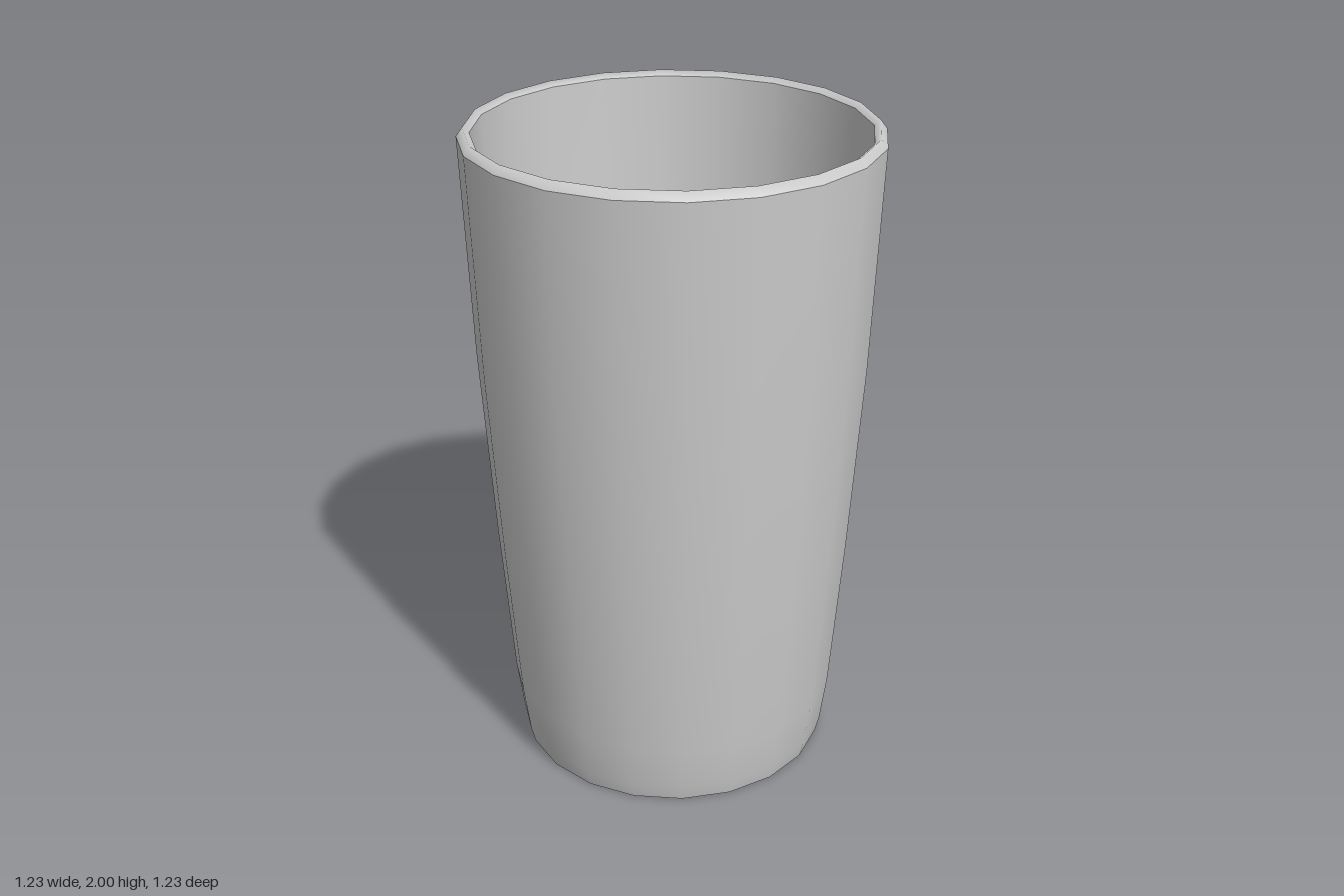
import * as THREE from 'three';

const SIDES = 20;

// Revolve a short [radius, height] profile; each piece is smooth in itself,
// and the breaks between pieces keep the edges sharp.
function turned(name, profile, material) {
  const points = profile.map(([r, y]) => new THREE.Vector2(r, y));
  const mesh = new THREE.Mesh(new THREE.LatheGeometry(points, SIDES), material);
  mesh.name = name;
  return mesh;
}

export function createModel() {
  const cup = new THREE.Group();
  cup.name = 'cup';
  const material = new THREE.MeshStandardMaterial({ color: 0xcccccc });

  // Flat underside
  cup.add(turned('base', [[0, 0], [0.48, 0]], material));

  // Gently flaring outside wall
  cup.add(turned('outerWall', [
    [0.48, 0], [0.492, 0.05], [0.512, 0.2], [0.55, 0.7], [0.587, 1.3], [0.613, 1.975],
  ], material));

  // Bevelled lip
  cup.add(turned('rim', [[0.613, 1.975], [0.594, 2], [0.575, 1.985]], material));

  // Inside wall, running softly into the floor
  cup.add(turned('interior', [
    [0.575, 1.985], [0.55, 1.3], [0.513, 0.7], [0.475, 0.2], [0.45, 0.06], [0, 0.05],
  ], material));

  return cup;
}
